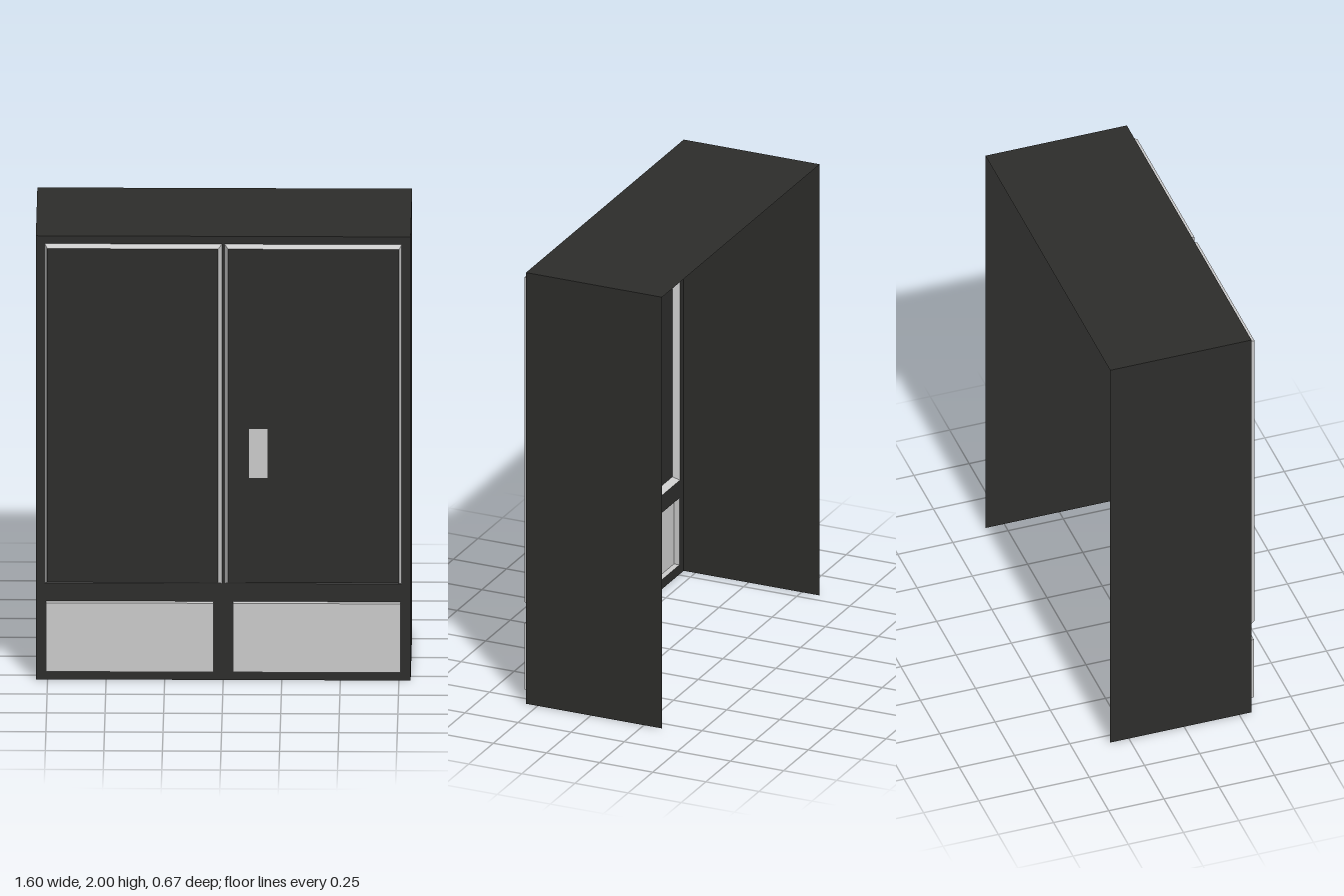
import * as THREE from 'three';

const grey = new THREE.MeshStandardMaterial({ color: 0xcccccc, side: THREE.DoubleSide, flatShading: true });
const dark = new THREE.MeshStandardMaterial({ color: 0x2d2d2b, side: THREE.DoubleSide, flatShading: true });

const W = 0.8, H = 2, BACK = -0.335, FRONT = 0.305, DOOR_Z = 0.336, DRAWER_Z = 0.331;

// Rectangles are [x0, y0, x1, y1]
const corners = ([x0, y0, x1, y1]) => [[x0, y0], [x1, y0], [x1, y1], [x0, y1]];
const outline = (r, Type) => new Type(corners(r).map(([x, y]) => new THREE.Vector2(x, y)));
const mirror = ([x0, y0, x1, y1]) => [-x1, y0, -x0, y1];

function add(parent, name, geometry, material) {
  const mesh = new THREE.Mesh(geometry, material);
  mesh.name = name;
  parent.add(mesh);
  return mesh;
}

// Flat sheet facing +z with rectangular openings
function sheet(rect, z, holes = []) {
  const shape = outline(rect, THREE.Shape);
  holes.forEach((h) => shape.holes.push(outline(h, THREE.Path)));
  return new THREE.ShapeGeometry(shape).translate(0, 0, z);
}

// Four-sided rim joining a rear rectangle to a front one
function rim(rear, z0, front, z1) {
  const a = corners(rear), b = corners(front), pos = [];
  for (let i = 0; i < 4; i++) {
    const j = (i + 1) % 4;
    const p = [...a[i], z0], q = [...a[j], z0], r = [...b[j], z1], s = [...b[i], z1];
    pos.push(...p, ...q, ...r, ...p, ...r, ...s);
  }
  const g = new THREE.BufferGeometry();
  g.setAttribute('position', new THREE.Float32BufferAttribute(pos, 3));
  g.computeVertexNormals();
  return g;
}

export function createModel() {
  const model = new THREE.Group();
  model.name = 'cabinet';

  const doorRear = [0.006, 0.435, 0.762, 1.965];
  const doorFront = [0.021, 0.449, 0.751, 1.953];
  const drawer = [0.042, 0.044, 0.757, 0.354];
  const handle = [0.11, 0.922, 0.19, 1.143];

  // Carcass: thin shell, open at the back and underneath
  const carcass = new THREE.Group();
  carcass.name = 'carcass';
  model.add(carcass);
  const depth = FRONT - BACK, midZ = (FRONT + BACK) / 2;
  add(carcass, 'top', new THREE.PlaneGeometry(2 * W, depth).rotateX(-Math.PI / 2).translate(0, H, midZ), dark);
  for (const [name, s] of [['leftSide', 1], ['rightSide', -1]]) {
    add(carcass, name, new THREE.PlaneGeometry(depth, H).rotateY(s * Math.PI / 2).translate(s * W, H / 2, midZ), dark);
  }
  add(carcass, 'frontFrame', sheet([-W, 0, W, H], FRONT,
    [doorRear, mirror(doorRear), drawer, mirror(drawer)]), dark);

  // Doors with bevelled rims, and drawer fronts with straight rims
  for (const [side, place] of [['left', (r) => r], ['right', mirror]]) {
    const door = new THREE.Group();
    door.name = side + 'Door';
    model.add(door);
    add(door, side + 'DoorBevel', rim(place(doorRear), FRONT, place(doorFront), DOOR_Z), grey);
    add(door, side + 'DoorPanel', sheet(place(doorFront), DOOR_Z, side === 'left' ? [handle] : []), dark);
    // Flush handle plate, on one door only
    if (side === 'left') add(door, 'handle', sheet(handle, DOOR_Z), grey);

    const box = new THREE.Group();
    box.name = side + 'Drawer';
    model.add(box);
    add(box, side + 'DrawerRim', rim(place(drawer), FRONT, place(drawer), DRAWER_Z), grey);
    add(box, side + 'DrawerFront', sheet(place(drawer), DRAWER_Z), grey);
  }
  return model;
}
